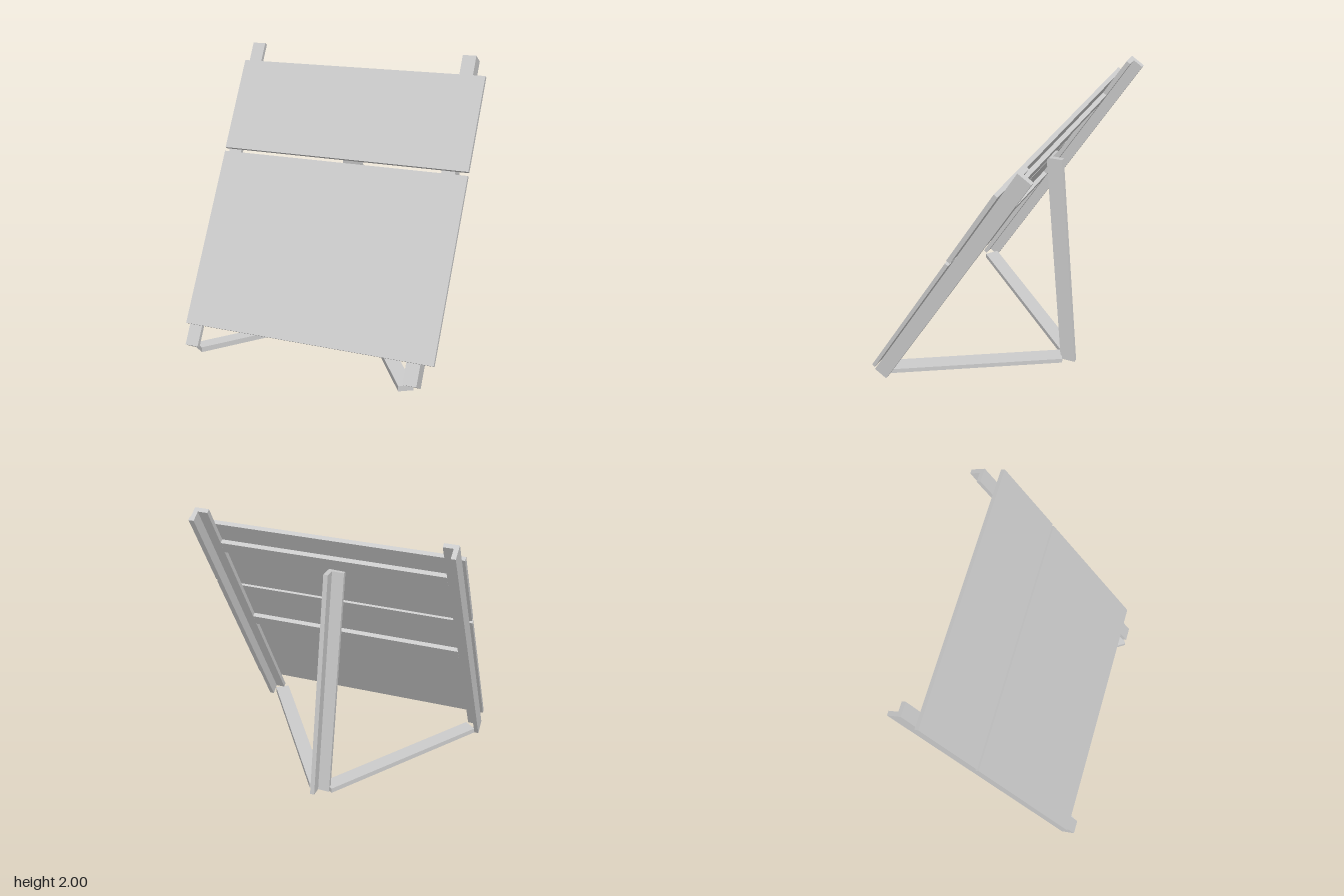
import * as THREE from 'three';

const material = new THREE.MeshStandardMaterial({ color: 0xcccccc });

function addMesh(parent, geometry, name) {
  const mesh = new THREE.Mesh(geometry, material);
  mesh.name = name;
  parent.add(mesh);
  return mesh;
}

// Box given by its minimum and maximum corners
function addBox(parent, name, [x0, y0, z0], [x1, y1, z1]) {
  const mesh = addMesh(parent, new THREE.BoxGeometry(x1 - x0, y1 - y0, z1 - z0), name);
  mesh.position.set((x0 + x1) / 2, (y0 + y1) / 2, (z0 + z1) / 2);
  return mesh;
}

// Upright L-section: flange across the front (z = 0), web running back on one side
function angleSection(width, depth, wall, length, side) {
  const h = (width / 2) * side;
  const shape = new THREE.Shape([
    [-h, 0], [h, 0], [h, depth], [h - wall * side, depth], [h - wall * side, wall], [-h, wall],
  ].map(([x, y]) => new THREE.Vector2(x, y)));
  return new THREE.ExtrudeGeometry(shape, { depth: length, bevelEnabled: false }).rotateX(-Math.PI / 2);
}

export function createModel() {
  const model = new THREE.Group();
  model.name = 'leaningPanelStand';

  // Leaning frame: local y runs up the rails, local z points out of the panels
  const frame = new THREE.Group();
  frame.name = 'leaningFrame';
  frame.rotation.x = -0.518;
  frame.position.z = 0.51;
  model.add(frame);

  const depth = 0.103, wall = 0.03;
  for (const [name, x, side] of [['rightRail', -0.833, -1], ['leftRail', 0.758, 1]]) {
    const rail = addMesh(frame, angleSection(0.095, depth, wall, 2.243, side), name);
    rail.position.set(x, 0, depth);
  }

  // Flat cross bars between the rails
  for (const [name, y] of [['lowerCrossBar', 1.0], ['upperCrossBar', 1.88]]) {
    addBox(frame, name, [-0.785, y - 0.05, depth - wall], [0.71, y + 0.05, depth]);
  }

  // Front panels
  addBox(frame, 'lowerPanel', [-0.9, 0.146, depth], [0.9, 1.4, depth + 0.025]);
  addBox(frame, 'upperPanel', [-0.9, 1.426, depth], [0.9, 2.093, depth + 0.029]);

  // Rear leg, leaning forward and slightly to one side
  const leg = addMesh(model, angleSection(0.11, 0.108, 0.03, 1.62, 1), 'rearLeg');
  leg.position.set(-0.01, 0, -0.487);
  leg.rotation.set(0.11, 0, 0.03);

  // Floor struts from the rail feet to the rear leg, given by their inner edges
  for (const [name, x, z, side] of [['rightStrut', -0.77, 0.57, -1], ['leftStrut', 0.685, 0.6, 1]]) {
    const front = new THREE.Vector2(x, z), back = new THREE.Vector2(-0.005, -0.46);
    const run = front.clone().sub(back);
    const strut = new THREE.Group();
    strut.name = name;
    strut.position.set(back.x, 0, back.y);
    strut.rotation.y = Math.atan2(run.x, run.y);
    const x0 = side > 0 ? 0 : -0.1;
    addBox(strut, name + 'Board', [x0, 0, 0], [x0 + 0.1, 0.036, run.length()]);
    model.add(strut);
  }

  return model;
}
